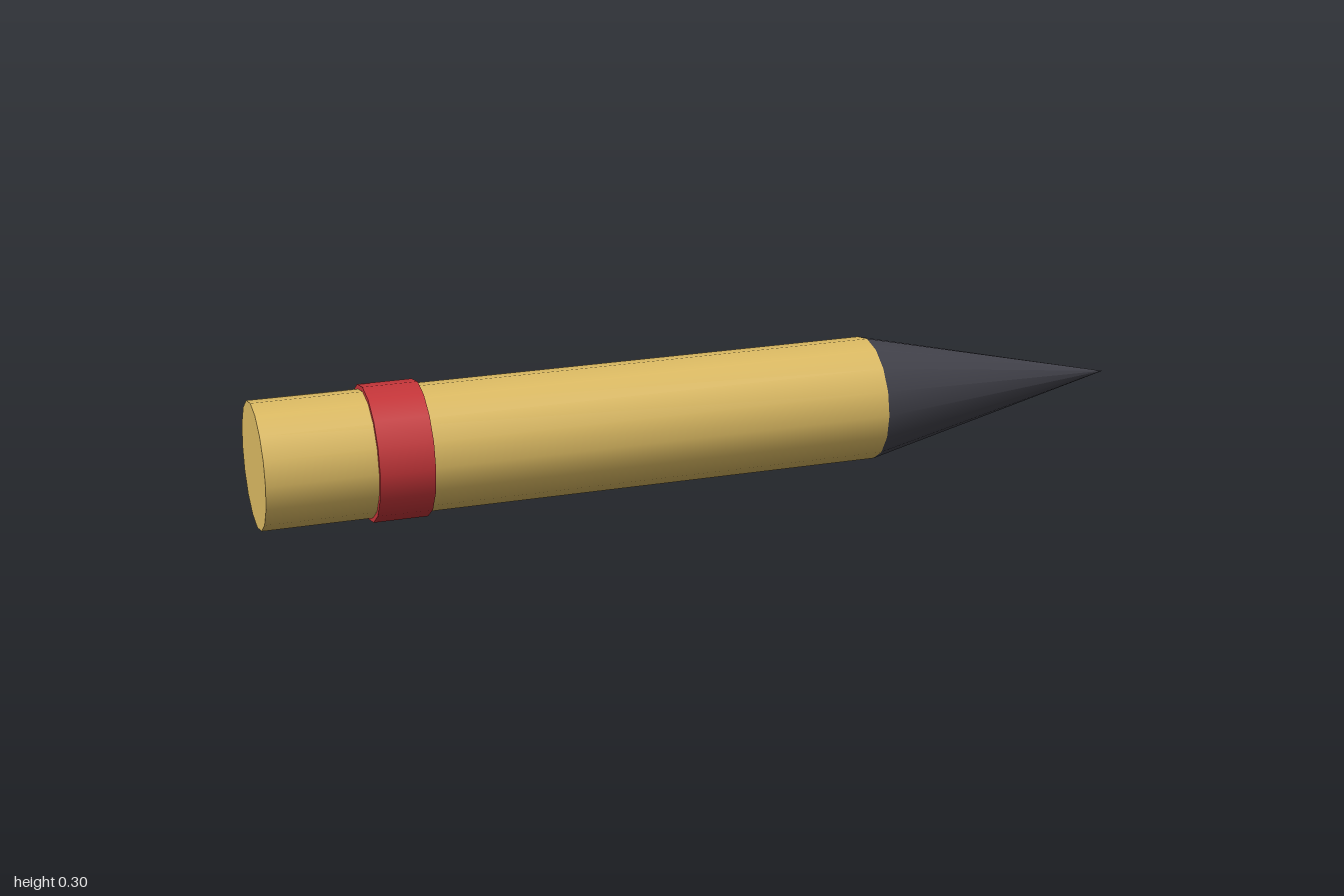
import * as THREE from 'three';

const SIDES = 16;
const AXIS_Y = 0.15;

// Round section lying along x, from x0 (radius r0) to x1 (radius r1)
function section(name, x0, x1, r0, r1, material) {
  const geometry = new THREE.CylinderGeometry(r1, r0, x1 - x0, SIDES);
  geometry.rotateZ(-Math.PI / 2);
  const mesh = new THREE.Mesh(geometry, material);
  mesh.name = name;
  mesh.position.set((x0 + x1) / 2, AXIS_Y, 0);
  return mesh;
}

export function createModel() {
  const brass = new THREE.MeshStandardMaterial({ color: 0xdfbd64 });
  brass.name = 'brass yellow';
  const red = new THREE.MeshStandardMaterial({ color: 0xc8363a });
  red.name = 'band red';
  const dark = new THREE.MeshStandardMaterial({ color: 0x46464f });
  dark.name = 'dark grey';

  const model = new THREE.Group();
  model.name = 'pointedShell';
  model.add(
    section('body', -1, 0.4, 0.14, 0.14, brass),
    section('band', -0.76, -0.64, 0.15, 0.15, red),
    section('tip', 0.4, 1, 0.14, 0, dark)
  );
  return model;
}
